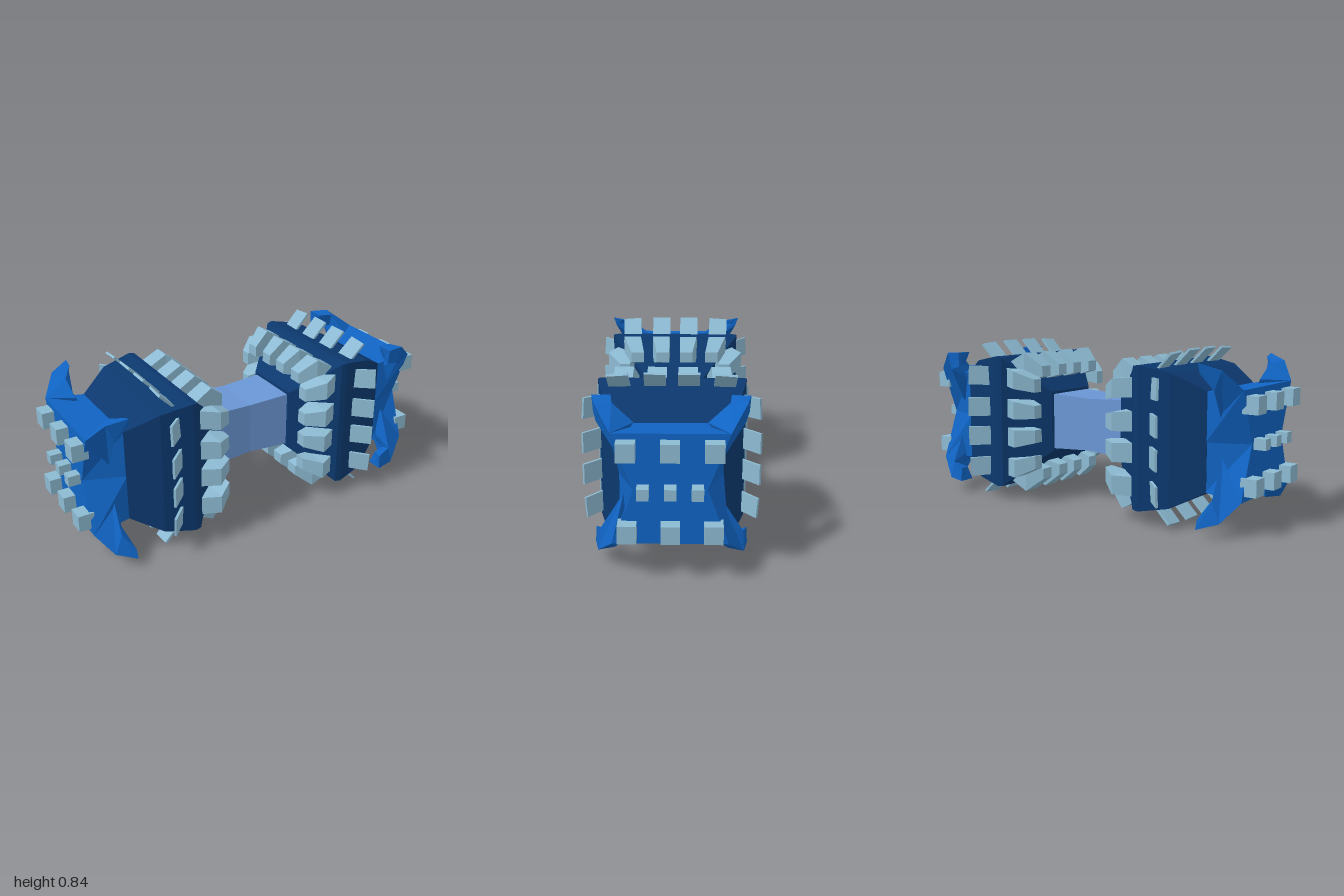
import * as THREE from 'three';

const paint = (name, color) => {
  const m = new THREE.MeshStandardMaterial({ color });
  m.name = name;
  return m;
};

// Closed flat-shaded solid through equal-length loops of [x, y, z] points
function loft(loops) {
  const tris = [];
  const n = loops[0].length;
  const mid = (loop) => [0, 1, 2].map((k) => loop.reduce((s, p) => s + p[k], 0) / n);
  for (let s = 0; s < loops.length - 1; s++) {
    for (let i = 0; i < n; i++) {
      const j = (i + 1) % n;
      const [a, b, c, d] = [loops[s][i], loops[s][j], loops[s + 1][j], loops[s + 1][i]];
      tris.push([a, b, c], [a, c, d]);
    }
  }
  const first = loops[0], last = loops[loops.length - 1];
  for (let i = 0; i < n; i++) {
    const j = (i + 1) % n;
    tris.push([first[j], first[i], mid(first)], [last[i], last[j], mid(last)]);
  }
  // Turn the faces outward whichever way the loops run
  const v = (p) => new THREE.Vector3(...p);
  const volume = tris.reduce((sum, [a, b, c]) => sum + v(a).dot(v(b).cross(v(c))), 0);
  const flat = tris.flatMap(([a, b, c]) => (volume < 0 ? [a, c, b] : [a, b, c])).flat();
  const geo = new THREE.BufferGeometry();
  geo.setAttribute('position', new THREE.Float32BufferAttribute(flat, 3));
  geo.computeVertexNormals();
  return geo;
}

const square = (x, r) => [[x, r, r], [x, r, -r], [x, -r, -r], [x, -r, r]];

export function createModel() {
  const navy = paint('navy', 0x0c386e);
  const blue = paint('blue', 0x1064c4);
  const paleBlue = paint('paleBlue', 0x6a96d4);
  const steel = paint('steel', 0x8cbad2);

  const model = new THREE.Group();
  const add = (parent, name, geo, mat) => {
    const mesh = new THREE.Mesh(geo, mat);
    mesh.name = name;
    parent.add(mesh);
    return mesh;
  };

  // Square grip, slightly waisted
  add(model, 'handle', loft([square(-0.24, 0.147), square(0, 0.136), square(0.24, 0.147)]), paleBlue);

  // Claw sections: [outer, along y face, inner, along z face], each [x, y, z]
  const tipLong = [
    [[0.82, 0.35, 0.33], [0.8, 0.345, 0.255], [0.8, 0.28, 0.27], [0.8, 0.26, 0.325]],
    [[0.72, 0.355, 0.35], [0.72, 0.355, 0.265], [0.74, 0.29, 0.28], [0.72, 0.28, 0.345]],
  ];
  const tipShort = [
    [[0.87, 0.345, 0.33], [0.83, 0.335, 0.25], [0.8, 0.25, 0.25], [0.83, 0.25, 0.325]],
    [[0.775, 0.375, 0.375], [0.775, 0.36, 0.33], [0.78, 0.335, 0.335], [0.775, 0.33, 0.36]],
  ];

  function buildHead(name, tip) {
    const head = new THREE.Group();
    head.name = name;

    // Faceted square body
    add(head, 'headBody', loft([
      square(0.22, 0.16), square(0.39, 0.315), square(0.415, 0.343),
      square(0.445, 0.348), square(0.6, 0.318), square(0.75, 0.235),
    ]), navy);

    // End cap with a notch on the front and back
    const cap = (x, r, waist) => [
      [x, r, r], [x, r, 0], [x, r, -r], [x, 0, -waist],
      [x, -r, -r], [x, -r, 0], [x, -r, r], [x, 0, waist],
    ];
    add(head, 'endCap', loft([cap(0.745, 0.235, 0.235), cap(0.94, 0.255, 0.16)]), blue);

    // Four corner claws curling back over the body
    const root = [[0.94, 0.255, 0.255], [0.82, 0.262, 0.16], [0.78, 0.2, 0.2], [0.82, 0.07, 0.21]];
    for (const sy of [1, -1]) {
      for (const sz of [1, -1]) {
        const loops = [root, ...tip].map((l) => l.map(([x, y, z]) => [x, y * sy, z * sz]));
        add(head, 'claw', loft(loops), blue);
      }
    }

    // Studs on the end face
    for (const row of [-1, 0, 1]) {
      const size = row ? 0.083 : 0.052;
      for (const col of [-1, 0, 1]) {
        const stud = add(head, 'stud', new THREE.BoxGeometry(0.08, size, size), steel);
        stud.position.set(0.96, row * 0.187, col * (row ? 0.187 : 0.117));
      }
    }

    // Two rows of teeth on each of the four sides
    for (let k = 0; k < 4; k++) {
      const side = new THREE.Group();
      side.name = 'teeth';
      side.rotation.x = (k * Math.PI) / 2;
      head.add(side);
      for (const t of [-0.245, -0.078, 0.078, 0.245]) {
        const corner = Math.abs(t) > 0.1;

        // Thin leaning plate
        const plate = add(side, 'plateTooth', new THREE.BoxGeometry(0.115, 0.012, 0.1), steel);
        plate.rotation.set(corner ? Math.sign(t) * 0.07 : 0, 0, Math.PI / 4);
        plate.position.set(0.548, corner ? 0.366 : 0.373, t);

        // Bent wedge tapering toward the handle
        const section = (x, low, high, z, w) => [
          [x, low, z - w], [x, high, z - w], [x, high, z + w], [x, low, z + w],
        ];
        add(side, 'wedgeTooth', loft([
          section(0.405, 0.29, 0.315, t * 0.98, 0.048),
          section(0.31, 0.22, 0.368, t * 0.95, 0.046),
          section(0.225, 0.245, 0.3, t * 0.82, 0.034),
        ]), steel);
      }
    }
    model.add(head);
    return head;
  }

  buildHead('leftHead', tipLong);
  buildHead('rightHead', tipShort).rotation.y = Math.PI;

  model.position.y = 0.42;
  const root = new THREE.Group();
  root.name = 'hammer';
  root.add(model);
  return root;
}
